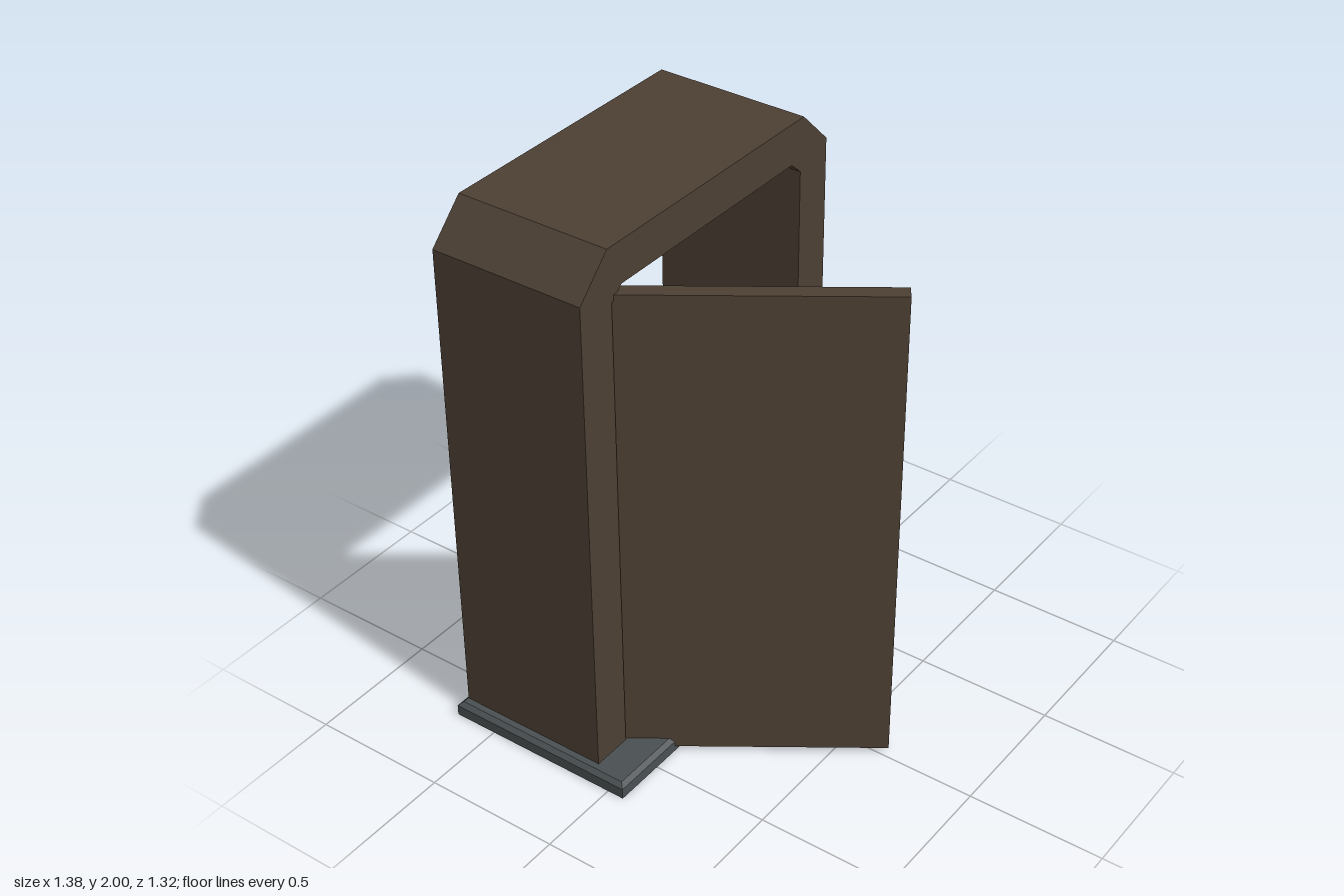
import * as THREE from 'three';

export function createModel() {
  const group = new THREE.Group();
  const wood = new THREE.MeshStandardMaterial({ color: 0x4d4034 });
  wood.name = 'dark wood';
  const stone = new THREE.MeshStandardMaterial({ color: 0x4a5052 });
  stone.name = 'grey stone';

  const add = (name, geometry, material) => {
    const mesh = new THREE.Mesh(geometry, material);
    mesh.name = name;
    group.add(mesh);
    return mesh;
  };

  // Arched door frame: outline mirrored from its right half, chamfered corners
  const half = [
    [0.5, 0], [0.65, 0], [0.65, 1.865], [0.515, 2],
  ];
  const inner = [[0.5, 1.805], [0.45, 1.85]];
  const mirror = (points) => points.map(([x, y]) => [-x, y]).reverse();
  const outline = [...half, ...mirror(half), ...mirror(inner).reverse(), ...inner.slice().reverse()];
  const shape = new THREE.Shape(outline.map(([x, y]) => new THREE.Vector2(x, y)));
  const frameGeometry = new THREE.ExtrudeGeometry(shape, { depth: 0.575, bevelEnabled: false });
  add('doorFrame', frameGeometry, wood).position.z = -0.645;

  // Threshold slab: box with its top edge drawn in as a chamfer
  const slab = new THREE.BoxGeometry(1.38, 0.055, 0.725, 1, 2, 1).toNonIndexed();
  const p = slab.attributes.position;
  for (let i = 0; i < p.count; i++) {
    const y = p.getY(i);
    if (y > 0.01) {
      p.setX(i, p.getX(i) - Math.sign(p.getX(i)) * 0.016);
      p.setZ(i, p.getZ(i) - Math.sign(p.getZ(i)) * 0.016);
    } else if (y > -0.01) {
      p.setY(i, 0.0125);
    }
  }
  slab.computeVertexNormals();
  add('threshold', slab, stone).position.set(0, 0.0275, -0.3);

  // Door leaf swung open, hinge end set into the jamb
  const door = add('door', new THREE.BoxGeometry(1, 1.81, 0.055), wood);
  door.position.set(-0.243, 0.925, 0.235);
  door.rotation.y = -0.96;

  return group;
}
